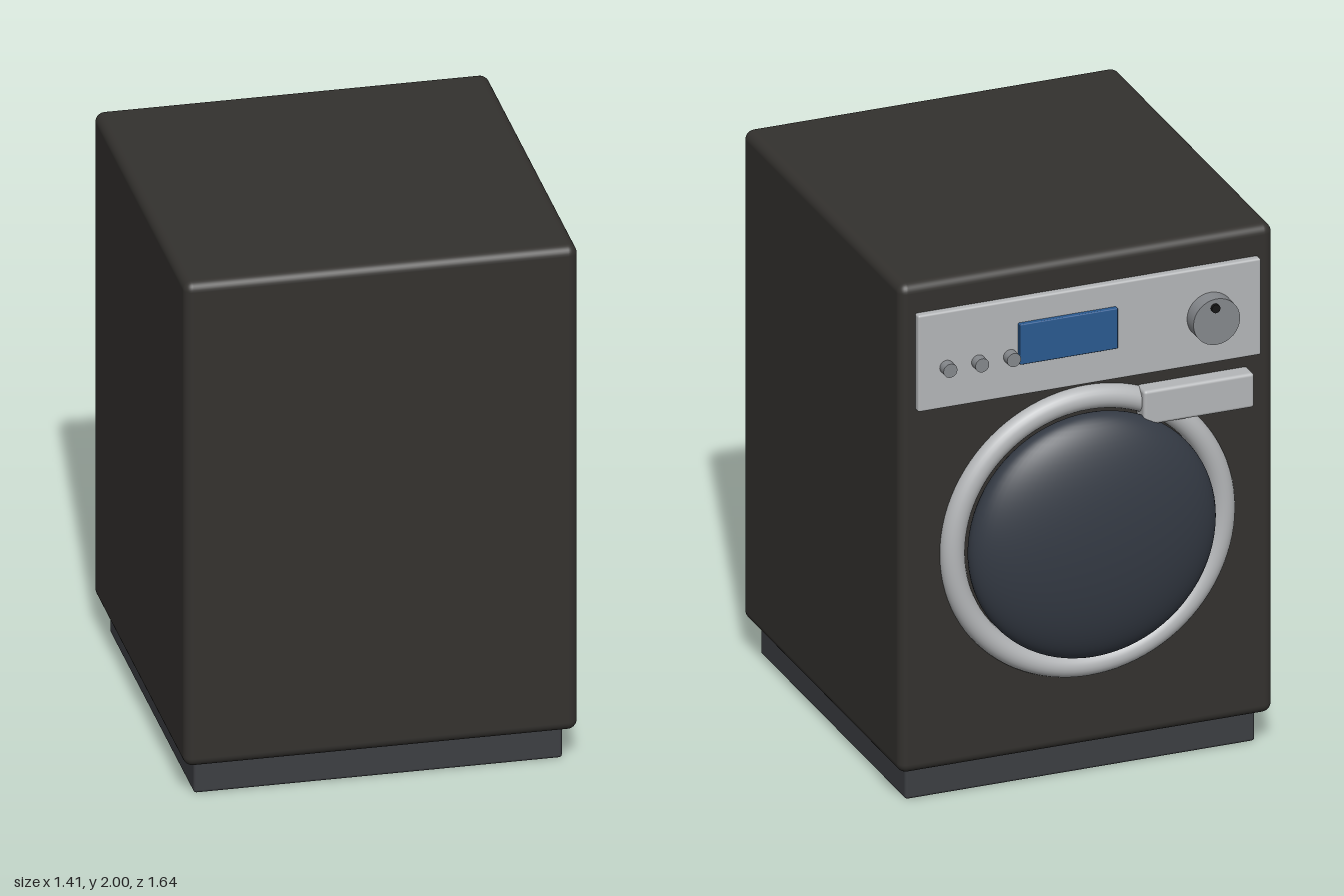
import * as THREE from 'three';
import { RoundedBoxGeometry } from 'three/addons/geometries/RoundedBoxGeometry.js';

const mat = (color) => new THREE.MeshStandardMaterial({ color });

export function createModel() {
  const model = new THREE.Group();
  const charcoal = mat(0x33312e), plinthGrey = mat(0x3c3e42), silver = mat(0xb4b6b8);
  const steel = mat(0x85888c), glass = mat(0x343a44), blue = mat(0x2a5a90), black = mat(0x151515);

  const add = (name, geometry, material, x, y, z) => {
    const mesh = new THREE.Mesh(geometry, material);
    mesh.name = name;
    mesh.position.set(x, y, z);
    model.add(mesh);
    return mesh;
  };

  // Rounded box given by its extents on each axis
  const box = (name, material, [x0, x1], [y0, y1], [z0, z1], r) =>
    add(name, new RoundedBoxGeometry(x1 - x0, y1 - y0, z1 - z0, 4, r), material,
      (x0 + x1) / 2, (y0 + y1) / 2, (z0 + z1) / 2);

  // Round control pointing out of the panel, from zBack to zFront
  const dial = (name, material, x, y, r, zBack, zFront) => {
    const mesh = add(name, new THREE.CylinderGeometry(r, r, zBack - zFront, 32), material,
      x, y, (zBack + zFront) / 2);
    mesh.rotation.x = -Math.PI / 2;
    return mesh;
  };

  // Cabinet and plinth
  box('cabinet', charcoal, [-0.705, 0.705], [0.125, 2], [-0.635, 0.82], 0.035);
  box('plinth', plinthGrey, [-0.66, 0.66], [0, 0.13], [-0.575, 0.765], 0.012);

  // Control panel, on the -z side
  box('controlPanel', silver, [-0.647, 0.647], [1.52, 1.89], [-0.662, -0.625], 0.008);
  box('display', blue, [-0.1, 0.27], [1.645, 1.8], [-0.68, -0.65], 0.004);
  for (const x of [0.3, 0.42, 0.54]) dial('button', steel, x, 1.677, 0.026, -0.655, -0.698);
  dial('programKnob', steel, -0.455, 1.705, 0.088, -0.655, -0.722);
  dial('knobMarker', black, -0.448, 1.76, 0.016, -0.715, -0.734);

  // Round door: rim, domed glass and handle
  add('doorRim', new THREE.TorusGeometry(0.51, 0.045, 24, 96), silver, 0, 0.95, -0.637);
  const dome = add('doorGlass', new THREE.SphereGeometry(0.465, 64, 40), glass, 0, 0.95, -0.68);
  dome.scale.z = 0.145 / 0.465;
  box('doorHandle', silver, [-0.607, -0.19], [1.34, 1.472], [-0.7, -0.625], 0.012);

  return model;
}
